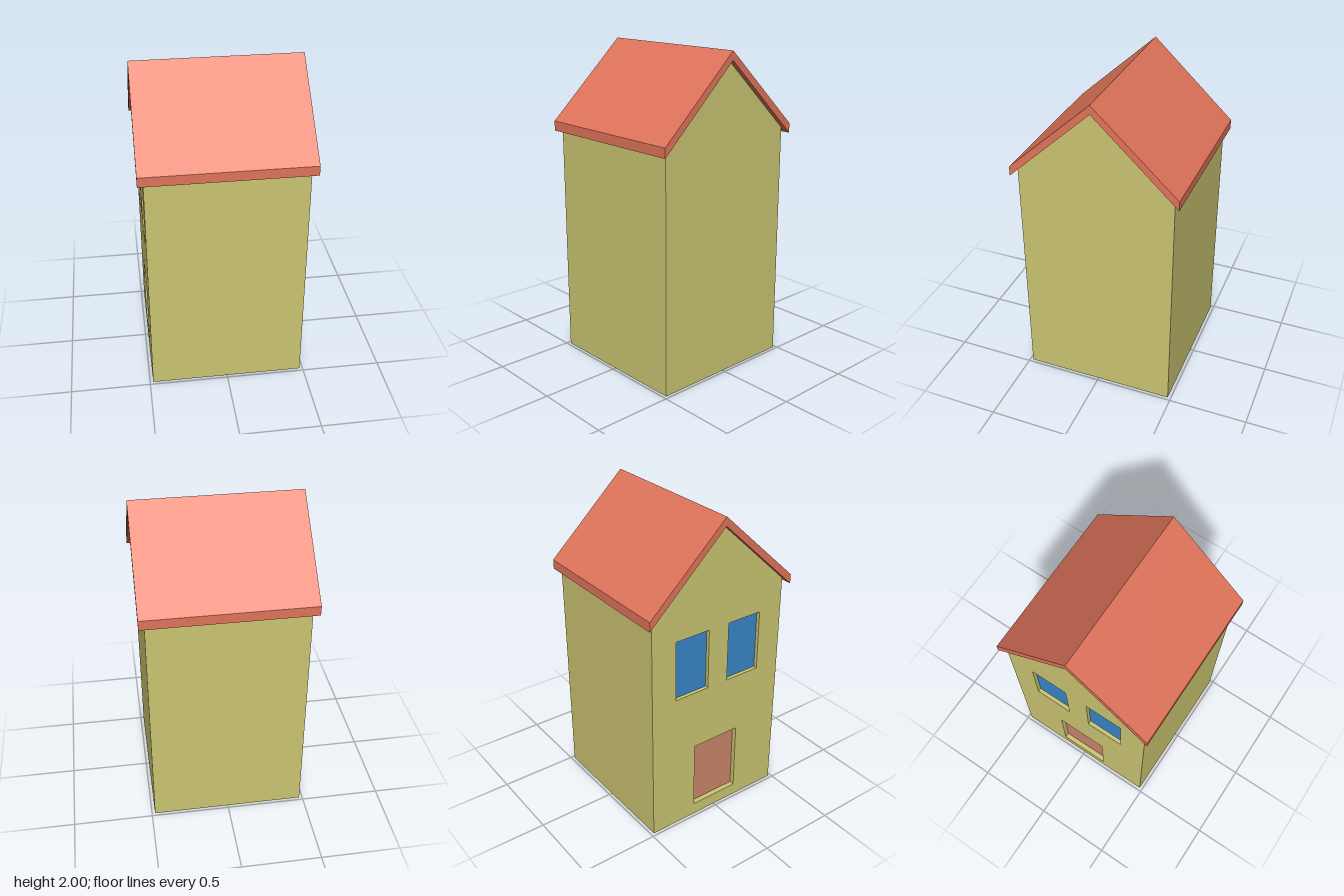
import * as THREE from 'three';

const WALL = 0xcbc571, ROOF = 0xe0745a, GLASS = 0x3786cb, DOOR = 0xcb866b;
const HALF = 0.48;      // half width of the walls
const SKIN = 0.035;     // thickness of the wall layer that holds the openings

const material = (color) => new THREE.MeshStandardMaterial({ color, flatShading: true });
const polygon = (points) => new THREE.Shape(points.map(([a, b]) => new THREE.Vector2(a, b)));

// Extrudes a (z, y) profile along x, from x0 to x1
function extrudeAlongX(name, shape, x0, x1, color) {
  const geometry = new THREE.ExtrudeGeometry(shape, { depth: x1 - x0, bevelEnabled: false });
  geometry.rotateY(Math.PI / 2);
  geometry.translate(x0, 0, 0);
  const mesh = new THREE.Mesh(geometry, material(color));
  mesh.name = name;
  return mesh;
}

const gable = () => polygon([[-HALF, 0], [HALF, 0], [HALF, 1.493], [0, 1.945], [-HALF, 1.493]]);

export function createModel() {
  const house = new THREE.Group();
  house.name = 'house';

  // Solid body
  house.add(extrudeAlongX('walls', gable(), -HALF + SKIN, HALF, WALL));

  // Recessed openings, all in the right gable
  const openings = [
    { name: 'windowBack', z: -0.193, y0: 0.925, y1: 1.316, width: 0.24, recess: 0.024, color: GLASS },
    { name: 'windowFront', z: 0.193, y0: 0.925, y1: 1.316, width: 0.24, recess: 0.024, color: GLASS },
    { name: 'door', z: 0, y0: 0.08, y1: 0.533, width: 0.33, recess: 0.032, color: DOOR },
  ];
  const face = gable();
  for (const o of openings) {
    const a = -o.z - o.width / 2, b = -o.z + o.width / 2;
    face.holes.push(polygon([[a, o.y0], [a, o.y1], [b, o.y1], [b, o.y0]]));
    const depth = SKIN - o.recess;
    const panel = new THREE.Mesh(
      new THREE.BoxGeometry(depth, o.y1 - o.y0, o.width), material(o.color));
    panel.position.set(-HALF + o.recess + depth / 2, (o.y0 + o.y1) / 2, o.z);
    panel.name = o.name;
    house.add(panel);
  }
  house.add(extrudeAlongX('gableWall', face, -HALF, -HALF + SKIN, WALL));

  // Pitched roof slab with a small overhang
  const roof = polygon([
    [-0.515, 1.46], [0, 1.945], [0.515, 1.46],
    [0.515, 1.52], [0, 2], [-0.515, 1.52],
  ]);
  house.add(extrudeAlongX('roof', roof, -0.515, 0.515, ROOF));

  return house;
}
